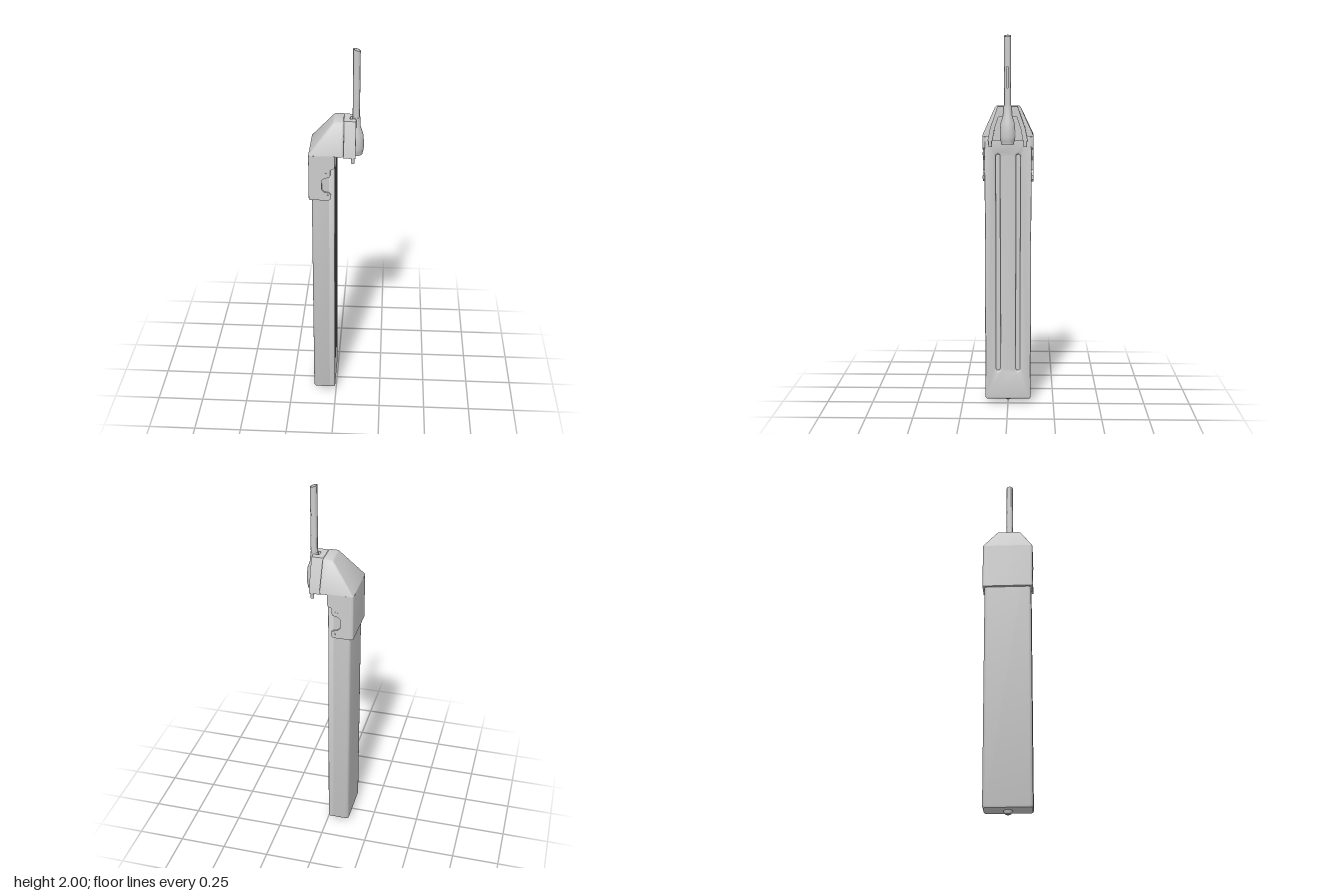
import * as THREE from 'three';
import { toCreasedNormals } from 'three/addons/utils/BufferGeometryUtils.js';

const material = new THREE.MeshStandardMaterial({ color: 0xcccccc, side: THREE.DoubleSide });

function part(parent, name, geometry, x = 0, y = 0, z = 0) {
  const mesh = new THREE.Mesh(toCreasedNormals(geometry, 0.6), material);
  mesh.name = name;
  mesh.position.set(x, y, z);
  parent.add(mesh);
  return mesh;
}

// Skin through rounded rectangles, each given as [y, x0, x1, halfDepth, cornerRadius]
function loft(sections, steps = 5) {
  const pos = [], index = [], n = 4 * (steps + 1);
  for (const [y, x0, x1, d, r] of sections) {
    for (let c = 0; c < 4; c++) {
      const cx = c === 0 || c === 3 ? x1 - r : x0 + r;
      const cz = c < 2 ? d - r : r - d;
      for (let i = 0; i <= steps; i++) {
        const a = (c + i / steps) * Math.PI / 2;
        pos.push(cx + r * Math.cos(a), y, cz + r * Math.sin(a));
      }
    }
  }
  for (let s = 0; s < sections.length - 1; s++) {
    for (let i = 0; i < n; i++) {
      const a = s * n + i, b = s * n + (i + 1) % n;
      index.push(a, a + n, b, b, a + n, b + n);
    }
  }
  const last = (sections.length - 1) * n;
  for (let i = 1; i < n - 1; i++) {
    index.push(0, i, i + 1, last, last + i + 1, last + i);
  }
  const g = new THREE.BufferGeometry();
  g.setAttribute('position', new THREE.Float32BufferAttribute(pos, 3));
  g.setIndex(index);
  return g;
}

function roundedRect(target, x0, y0, x1, y1, r) {
  target.absarc(x1 - r, y0 + r, r, -Math.PI / 2, 0);
  target.absarc(x1 - r, y1 - r, r, 0, Math.PI / 2);
  target.absarc(x0 + r, y1 - r, r, Math.PI / 2, Math.PI);
  target.absarc(x0 + r, y0 + r, r, Math.PI, Math.PI * 1.5);
  target.closePath();
  return target;
}

const polygon = points => new THREE.Shape(points.map(p => new THREE.Vector2(...p)));
const lathe = (points, segments = 32, start = 0, length = Math.PI * 2) =>
  new THREE.LatheGeometry(points.map(p => new THREE.Vector2(...p)), segments, start, length);

// Extrude a (z, y) outline along +x
const extrudeX = (shape, depth, options = {}) =>
  new THREE.ExtrudeGeometry(shape, { depth, bevelEnabled: false, curveSegments: 8, ...options })
    .rotateY(Math.PI / 2);

function addTank(group) {
  // Long body; its front face forms the floor of the slots
  part(group, 'tankBody', loft([
    [0.02, -0.113, -0.02, 0.113, 0.012],
    [0.024, -0.121, -0.02, 0.121, 0.015],
    [0.034, -0.125, -0.02, 0.125, 0.015],
    [1.475, -0.125, -0.02, 0.125, 0.015],
  ]));
  // Slotted front panel
  const panel = roundedRect(new THREE.Shape(), -0.125, 0.02, 0.125, 1.475, 0.014);
  for (const z of [-0.054, 0.054]) {
    panel.holes.push(roundedRect(new THREE.Path(), z - 0.012, 0.183, z + 0.012, 1.377, 0.0119));
  }
  part(group, 'slottedPanel', extrudeX(panel, 0.02, {
    bevelEnabled: true, bevelSize: 0.01, bevelThickness: 0.01, bevelOffset: -0.01, bevelSegments: 3,
  }), -0.035);
  // Drain plug
  part(group, 'drainPlug', lathe([
    [0, 0.012], [0.008, 0.012], [0.01, 0], [0.016, 0.003], [0.022, 0.014], [0.024, 0.022],
  ], 24), -0.07);
}

function addCap(group) {
  // Hipped hood
  part(group, 'hood', loft([
    [1.475, -0.14, 0.038, 0.135, 0.012],
    [1.482, -0.139, 0.038, 0.134, 0.012],
    [1.627, -0.021, 0.038, 0.068, 0.01],
    [1.633, -0.016, 0.036, 0.063, 0.009],
    [1.636, -0.01, 0.033, 0.057, 0.006],
  ]));
  part(group, 'backSkirt', loft([
    [1.23, -0.14, -0.1, 0.135, 0.012],
    [1.476, -0.14, -0.1, 0.135, 0.012],
  ]));
  // Side plates with a latch notch and two pins each
  const plate = polygon([
    [-0.12, 1.23], [-0.035, 1.23], [-0.025, 1.24], [-0.025, 1.262], [-0.036, 1.272],
    [-0.058, 1.276], [-0.072, 1.29], [-0.072, 1.342], [-0.06, 1.354], [-0.034, 1.36],
    [-0.028, 1.37], [-0.028, 1.4], [-0.008, 1.41], [-0.005, 1.42], [-0.005, 1.478], [-0.12, 1.478],
  ]);
  for (const side of [-1, 1]) {
    const g = new THREE.ExtrudeGeometry(plate, { depth: 0.014, bevelEnabled: false });
    part(group, 'sidePlate', g, 0, 0, side * 0.128 - 0.007);
    for (const [x, y] of [[-0.053, 1.377], [-0.04, 1.253]]) {
      part(group, 'latchPin',
        new THREE.CylinderGeometry(0.008, 0.008, 0.016, 16).rotateX(Math.PI / 2), x, y, side * 0.129);
    }
  }
}

function addNozzle(group) {
  // Trapezoid mount behind the nozzle
  part(group, 'mountPlate', extrudeX(polygon([
    [-0.105, 1.455], [0.105, 1.455], [0.092, 1.52], [0.052, 1.635], [-0.052, 1.635], [-0.092, 1.52],
  ]), 0.03), 0.036);
  // Bracket arms on both sides of the nozzle
  const arm = polygon([
    [0.019, 1.635], [0.052, 1.635], [0.092, 1.52], [0.105, 1.455],
    [0.08, 1.455], [0.068, 1.52], [0.048, 1.58], [0.019, 1.58],
  ]);
  for (const side of [-1, 1]) {
    const g = extrudeX(arm, 0.034);
    if (side > 0) g.rotateY(Math.PI).translate(0.034, 0, 0);
    part(group, 'bracketArm', g, 0.064);
    part(group, 'footPin', new THREE.CylinderGeometry(0.01, 0.009, 0.04, 16), 0.084, 1.444, side * 0.092);
  }
  // Hollow nozzle body
  part(group, 'nozzle', lathe([
    [0.018, 1.64], [0.018, 1.5], [0.022, 1.438], [0.034, 1.438], [0.034, 1.45], [0.038, 1.458],
    [0.04, 1.475], [0.04, 1.51], [0.036, 1.55], [0.023, 1.59], [0.02, 1.64], [0.018, 1.64],
  ], 40), 0.097);
  // Open tube with a narrow slit and a slanted tip
  const wall = (y0, y1) => [[0.0165, y0], [0.0185, y0], [0.0185, y1], [0.0165, y1], [0.0165, y0]];
  part(group, 'lowerTube', lathe(wall(1.58, 1.73)), 0.097);
  part(group, 'slitTube', lathe(wall(1.73, 1.84), 32, Math.PI / 2 + 0.16, Math.PI * 2 - 0.32), 0.097);
  const tip = lathe(wall(1.84, 2));
  const p = tip.attributes.position;
  for (let i = 0; i < p.count; i++) {
    if (p.getY(i) > 1.9) p.setY(i, 2 - 0.3 * (p.getX(i) + 0.0185));
  }
  part(group, 'tubeTip', tip, 0.097);
}

export function createModel() {
  const model = new THREE.Group();
  model.name = 'dispenser';
  for (const [name, build] of [['tank', addTank], ['cap', addCap], ['nozzleAssembly', addNozzle]]) {
    const group = new THREE.Group();
    group.name = name;
    build(group);
    model.add(group);
  }
  return model;
}
